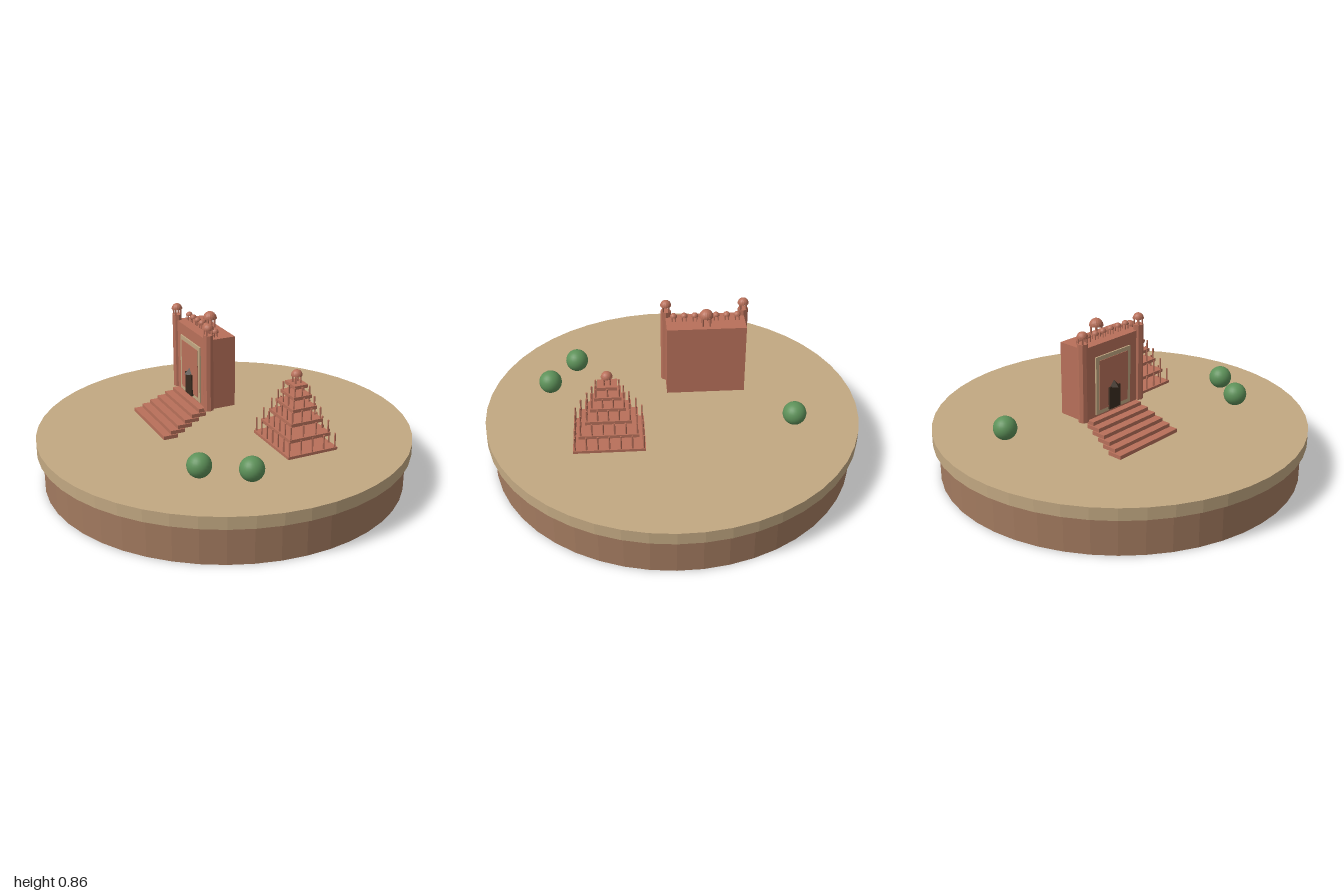
import * as THREE from 'three';

const mat = (name, color, flatShading = false) => {
  const m = new THREE.MeshStandardMaterial({ color, flatShading });
  m.name = name;
  return m;
};

export function createModel() {
  const sandstone = mat('red sandstone', 0xb8705a);
  const sand = mat('sand', 0xc2a882);
  const earth = mat('earth', 0xa27a5f);
  const dark = mat('dark doorway', 0x3a2c20);
  const green = mat('foliage green', 0x5d9159);
  for (const m of [sandstone, sand, earth, dark]) m.flatShading = true;

  const GROUND = 0.265;
  const TURN = -THREE.MathUtils.degToRad(20);
  const model = new THREE.Group();
  model.name = 'palaceDiorama';

  const add = (parent, name, geo, material, x = 0, y = 0, z = 0) => {
    const mesh = new THREE.Mesh(geo, material);
    mesh.name = name;
    mesh.position.set(x, y, z);
    parent.add(mesh);
    return mesh;
  };
  const group = (parent, name, x, y, z) => {
    const g = new THREE.Group();
    g.name = name;
    g.position.set(x, y, z);
    parent.add(g);
    return g;
  };
  const box = (w, h, d) => new THREE.BoxGeometry(w, h, d);
  const cyl = (r, h, n) => new THREE.CylinderGeometry(r, r, h, n);

  // Domed pavilion on four posts, standing on local y = 0
  const kiosk = (parent, name, x, y, z, r, postH) => {
    const g = group(parent, name, x, y, z);
    for (const sx of [-1, 1]) for (const sz of [-1, 1])
      add(g, 'kioskPost', cyl(r * 0.16, postH, 6), sandstone, sx * r * 0.5, postH / 2, sz * r * 0.5);
    add(g, 'kioskEave', cyl(r, r * 0.16, 16), sandstone, 0, postH, 0);
    add(g, 'kioskDome', new THREE.SphereGeometry(r * 0.97, 16, 8, 0, Math.PI * 2, 0, Math.PI / 2), sandstone, 0, postH, 0);
  };

  // Round base and ground
  add(model, 'basePlinth', cyl(0.97, 0.2, 48), earth, 0, 0.1, 0);
  add(model, 'groundDisc', cyl(1, 0.065, 48), sand, 0, 0.2325, 0);

  // Gatehouse; local z = 0 runs through the two front towers
  const gate = group(model, 'gatehouse', -0.2, 0, 0.0375);
  gate.rotation.y = TURN;
  add(gate, 'gateBlock', box(0.41, 0.385, 0.16), sandstone, 0, 0.5775, -0.072);
  add(gate, 'portalFrame', box(0.25, 0.31, 0.009), sand, 0, 0.552, 0.0115);
  add(gate, 'portalPanel', box(0.206, 0.266, 0.009), sandstone, 0, 0.552, 0.0145);

  // Doorway with pointed top
  add(gate, 'doorway', box(0.08, 0.12, 0.03), dark, 0, 0.465, 0.012);
  add(gate, 'doorPoint', new THREE.ConeGeometry(0.046, 0.05, 4), dark, 0, 0.547, 0.004);

  // Front towers
  for (const s of [-1, 1]) {
    add(gate, 'tower', cyl(0.027, 0.415, 8), sandstone, s * 0.202, 0.5925, 0);
    kiosk(gate, 'towerKiosk', s * 0.202, 0.8, 0, 0.029, 0.032);
  }

  // Roof pavilions
  for (let i = -3; i <= 3; i++)
    kiosk(gate, 'parapetKiosk', i * 0.055, 0.77, -0.057, 0.019, 0.026);
  kiosk(gate, 'roofKiosk', 0, 0.77, -0.104, 0.037, 0.05);

  // Stairs of overlapping slabs, narrowing upwards
  const STEPS = 6;
  for (let i = 0; i < STEPS; i++)
    add(gate, 'step', box(0.43 - i * 0.015, 0.02, 0.08), sandstone,
      0, GROUND + 0.01 + i * 0.02, 0.2226 - i * 0.0435);

  // Tiered open pavilion
  const tiers = group(model, 'tieredPavilion', 0.405, 0, -0.11);
  tiers.rotation.y = TURN;
  const levels = [ // top height, scale, posts along, posts across, post height
    [0.28, 1, 7, 5, 0.075],
    [0.354, 0.83, 6, 4, 0.065],
    [0.422, 0.64, 5, 4, 0.06],
    [0.485, 0.49, 4, 3, 0.05],
    [0.54, 0.37, 3, 3, 0.045],
    [0.592, 0.27, 0, 0, 0],
  ];
  levels.forEach(([top, s, nx, nz, h], level) => {
    const w = 0.37 * s, d = 0.285 * s, t = level ? 0.018 : 0.015;
    add(tiers, 'tierSlab', box(w, t, d), sandstone, 0, top - t / 2, 0);
    for (let i = 0; i < nx; i++) for (let j = 0; j < nz; j++) {
      if (i > 0 && i < nx - 1 && j > 0 && j < nz - 1) continue;
      add(tiers, 'tierPost', cyl(0.005, h, 6), sandstone,
        (i / (nx - 1) - 0.5) * (w - 0.02), top + h / 2, (j / (nz - 1) - 0.5) * (d - 0.02));
    }
  });
  kiosk(tiers, 'topKiosk', 0, 0.592, 0, 0.03, 0.04);

  // Round bushes
  for (const [x, z] of [[-0.52, -0.41], [0.56, 0.387], [0.355, 0.535]])
    add(model, 'bush', new THREE.SphereGeometry(0.062, 24, 16), green, x, 0.336, z);

  return model;
}
